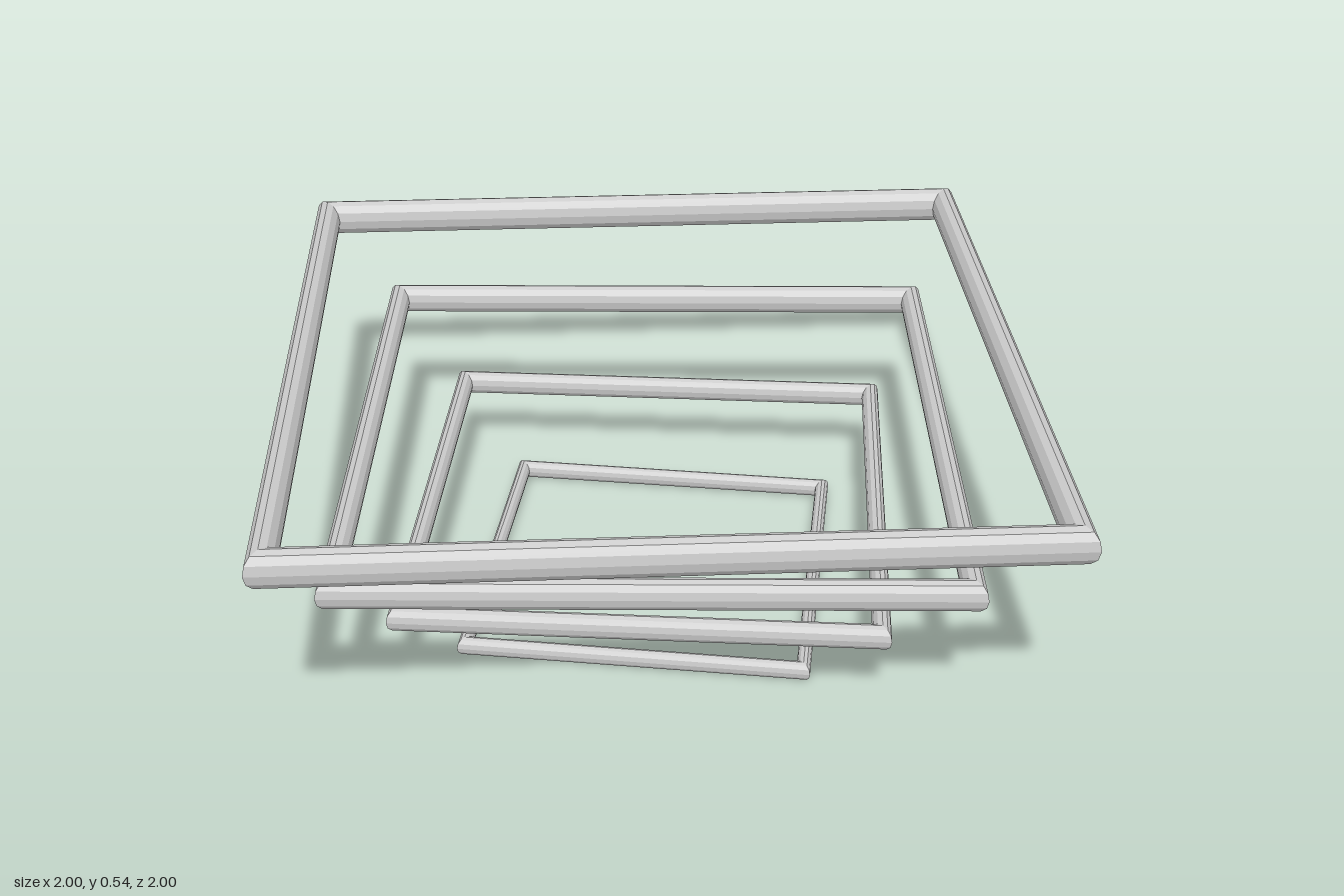
import * as THREE from 'three';

// Four stacked square rings, each larger, thicker and more twisted than the one below.
export function createModel() {
  const model = new THREE.Group();
  model.name = 'twistedSquareRings';
  const material = new THREE.MeshStandardMaterial({ color: 0xcccccc, flatShading: true });

  const count = 4;
  for (let i = 0; i < count; i++) {
    const t = i / (count - 1);
    const tube = THREE.MathUtils.lerp(0.0195, 0.0375, t);
    const outer = THREE.MathUtils.lerp(0.49, 1.0154, t); // centre to corner tip

    // A torus with four segments gives a square frame with mitred corners
    const geometry = new THREE.TorusGeometry(outer - tube, tube, 12, 4);
    geometry.rotateX(Math.PI / 2);

    const ring = new THREE.Mesh(geometry, material);
    ring.name = `squareRing${i + 1}`;
    ring.position.y = 0.0195 + i * 0.1617;
    ring.rotation.y = THREE.MathUtils.degToRad(10 * t);
    model.add(ring);
  }
  return model;
}
